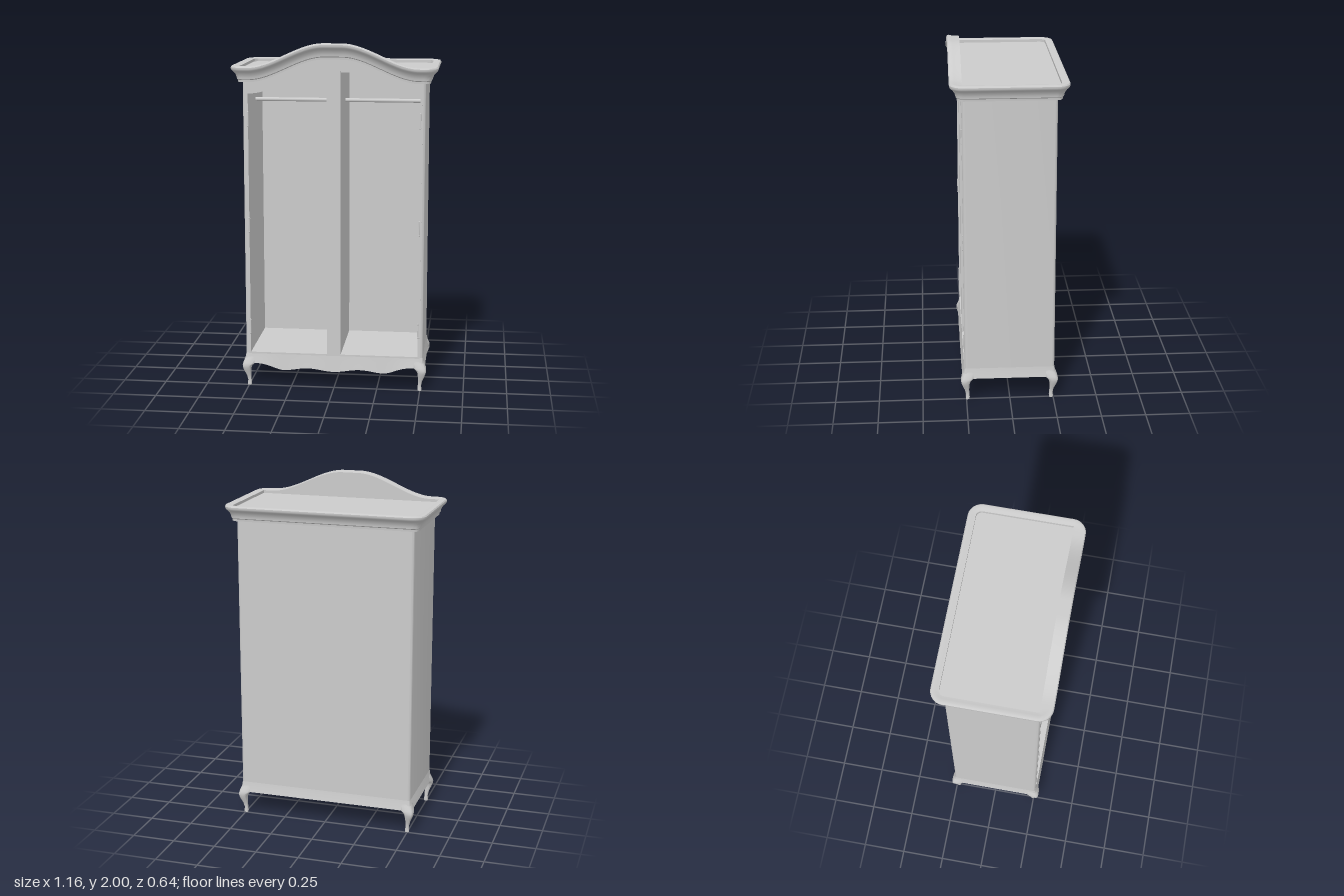
import * as THREE from 'three';
import { toCreasedNormals } from 'three/addons/utils/BufferGeometryUtils.js';

const HX = 0.515, HZ = 0.2575, CZ = 0.0025, FRONT = 0.26; // carcass half sizes
const mat = new THREE.MeshStandardMaterial({ color: 0xcccccc, side: THREE.DoubleSide });
const smooth = (x, from, to) => THREE.MathUtils.smoothstep((x - from) / (to - from), 0, 1);

// rise of the pediment arch, and the wavy lower edge of the front apron
const arch = x => 0.13 * smooth(Math.abs(x), 0.48, 0.05);
const wave = x => -(0.03 + 0.008 * Math.cos(x * Math.PI * 2 / 0.3)) * smooth(Math.abs(x), 0.46, 0.28);

// closed-ring surface: nu points around, nv rows from bottom to top
function ringSurface(nu, nv, point, crease = 0.6) {
  const pos = [], index = [];
  for (let j = 0; j < nv; j++) for (let i = 0; i < nu; i++) pos.push(...point(i, j));
  for (let j = 0; j < nv - 1; j++) for (let i = 0; i < nu; i++) {
    const k = (i + 1) % nu, a = j * nu + i, b = j * nu + k, c = b + nu, d = a + nu;
    index.push(a, b, c, a, c, d);
  }
  const g = new THREE.BufferGeometry();
  g.setAttribute('position', new THREE.Float32BufferAttribute(pos, 3));
  g.setIndex(index);
  return toCreasedNormals(g, crease);
}

// rounded-rectangle outline with outward directions, front edge finely divided
function outline(r) {
  const pts = [], n = 60, w = HX - r, d = HZ - r;
  for (let i = 1; i < n; i++) pts.push({ x: -w + 2 * w * i / n, z: CZ + HZ, nx: 0, nz: 1, front: true });
  [[1, 1], [1, -1], [-1, -1], [-1, 1]].forEach(([sx, sz], q) => {
    for (let k = 0; k <= 8; k++) {
      const a = (q + k / 8) * Math.PI / 2, nx = Math.sin(a), nz = Math.cos(a);
      pts.push({ x: sx * w + r * nx, z: CZ + sz * d + r * nz, nx, nz, front: false });
    }
  });
  return pts;
}

// carry an (outset, height) profile around the outline; adjust may shift a point
function sweep(profile, adjust) {
  const path = outline(0.012);
  return ringSurface(path.length, profile.length, (i, j) => {
    const p = path[i], [o, y] = profile[j];
    return adjust(new THREE.Vector3(p.x + p.nx * o, y, p.z + p.nz * o), j, p).toArray();
  });
}

export function createModel() {
  const model = new THREE.Group();
  const add = (name, geo, x = 0, y = 0, z = 0, parent = model) => {
    const m = new THREE.Mesh(geo, mat);
    m.name = name;
    m.position.set(x, y, z);
    parent.add(m);
    return m;
  };
  const box = (name, x0, x1, y0, y1, z0, z1) => add(name,
    new THREE.BoxGeometry(x1 - x0, y1 - y0, z1 - z0), (x0 + x1) / 2, (y0 + y1) / 2, (z0 + z1) / 2);

  // sides and back: U-shaped plan with rounded corners
  const r = 0.02, b = HZ - CZ;
  const plan = new THREE.Shape();
  plan.moveTo(0.485, -FRONT).lineTo(HX - r, -FRONT).quadraticCurveTo(HX, -FRONT, HX, -FRONT + r)
    .lineTo(HX, b - r).quadraticCurveTo(HX, b, HX - r, b)
    .lineTo(r - HX, b).quadraticCurveTo(-HX, b, -HX, b - r)
    .lineTo(-HX, r - FRONT).quadraticCurveTo(-HX, -FRONT, r - HX, -FRONT)
    .lineTo(-0.485, -FRONT).lineTo(-0.485, b - 0.025).lineTo(0.485, b - 0.025).closePath();
  const shell = new THREE.ExtrudeGeometry(plan, { depth: 1.645, bevelEnabled: false, curveSegments: 8 });
  add('sidesAndBack', toCreasedNormals(shell.rotateX(-Math.PI / 2), 0.6), 0, 0.195, 0);

  // front frame with two arched openings
  const archLine = (shape, x0, x1, y) => {
    for (let i = 0; i <= 40; i++) {
      const x = x0 + (x1 - x0) * i / 40;
      shape.lineTo(x, y + arch(x));
    }
  };
  const face = new THREE.Shape();
  face.moveTo(-0.497, 0.195).lineTo(0.497, 0.195);
  archLine(face, 0.497, -0.497, 1.79);
  face.closePath();
  for (const s of [-1, 1]) {
    const hole = new THREE.Path();
    hole.moveTo(s * 0.04, 0.205).lineTo(s * 0.485, 0.205);
    archLine(hole, s * 0.485, s * 0.04, 1.715);
    hole.closePath();
    face.holes.push(hole);
  }
  add('frontFrame', new THREE.ExtrudeGeometry(face, { depth: 0.006, bevelEnabled: false }), 0, 0, 0.255);

  // interior boards and top
  box('divider', -0.04, 0.04, 0.2, 1.845, -0.235, 0.256);
  box('floor', -0.505, 0.505, 0.15, 0.205, -0.245, 0.255);
  box('topPanel', -0.537, 0.537, 1.838, 1.85, -0.277, 0.256);

  // moulded cornice, arched along the front
  const cornice = [[-0.005, 1.78], [0.024, 1.78], [0.025, 1.792], [0.031, 1.797], [0.033, 1.808], [0.039, 1.823],
    [0.05, 1.837], [0.06, 1.845], [0.065, 1.854], [0.065, 1.863], [0.06, 1.87], [0.05, 1.872],
    [0.035, 1.868], [0.02, 1.866], [0.02, 1.848]];
  const last = cornice.length - 1;
  add('cornice', sweep(cornice, (v, j, p) => {
    if (p.front && j < last) v.y += arch(p.x);
    if (j >= last - 1) v.z = Math.min(v.z, 0.255);
    return v;
  }));

  // flared apron, scalloped on the front
  const apron = [[-0.015, 0.19], [-0.015, 0.14], [0.012, 0.14], [0.01, 0.15], [0.004, 0.175], [0, 0.2]];
  const drop = [0, 1, 1, 0.8, 0.3, 0];
  add('apron', sweep(apron, (v, j, p) => {
    if (p.front) v.y += wave(p.x) * drop[j];
    return v;
  }));

  // cabriole legs: rows of height, inner and outer reach
  const rows = [[0, 0.497, 0.498], [0, 0.487, 0.509], [0.012, 0.486, 0.509], [0.03, 0.488, 0.507], [0.06, 0.489, 0.514],
    [0.09, 0.488, 0.527], [0.11, 0.485, 0.534], [0.125, 0.478, 0.536], [0.14, 0.458, 0.533],
    [0.165, 0.45, 0.523], [0.185, 0.45, 0.516], [0.205, 0.455, 0.513]];
  const n = 24, soft = v => Math.sign(v) * Math.pow(Math.abs(v), 0.55);
  for (const sx of [-1, 1]) for (const sz of [-1, 1]) {
    const leg = ringSurface(n, rows.length, (i, j) => {
      const [y, a, c] = rows[j], t = i / n * Math.PI * 2;
      const mid = (a + c) / 2, half = (c - a) / 2;
      return [sx * mid + half * soft(Math.sin(t)), y, CZ + sz * (mid - HX + HZ) + half * soft(Math.cos(t))];
    }, 0.9);
    add((sz > 0 ? 'front' : 'back') + (sx > 0 ? 'Left' : 'Right') + 'Leg', leg);
  }

  // hanging rails and hinges, mirrored
  for (const s of [-1, 1]) {
    const rail = add('hangingRail', new THREE.CylinderGeometry(0.011, 0.011, 0.45, 16), s * 0.2625, 1.655, 0);
    rail.rotation.z = Math.PI / 2;
    for (const y of [0.36, 0.96, 1.57]) {
      const hinge = new THREE.Group();
      hinge.name = 'hinge';
      hinge.position.set(s * 0.486, y, 0.261);
      model.add(hinge);
      add('hingePin', new THREE.CylinderGeometry(0.004, 0.004, 0.08, 10), 0, 0, 0, hinge);
      for (const e of [-1, 1]) add('hingeTip', new THREE.SphereGeometry(0.005, 10, 8), 0, e * 0.04, 0, hinge);
      add('hingeLeaf', new THREE.BoxGeometry(0.003, 0.065, 0.025), -s * 0.002, 0, -0.012, hinge);
    }
  }
  return model;
}
